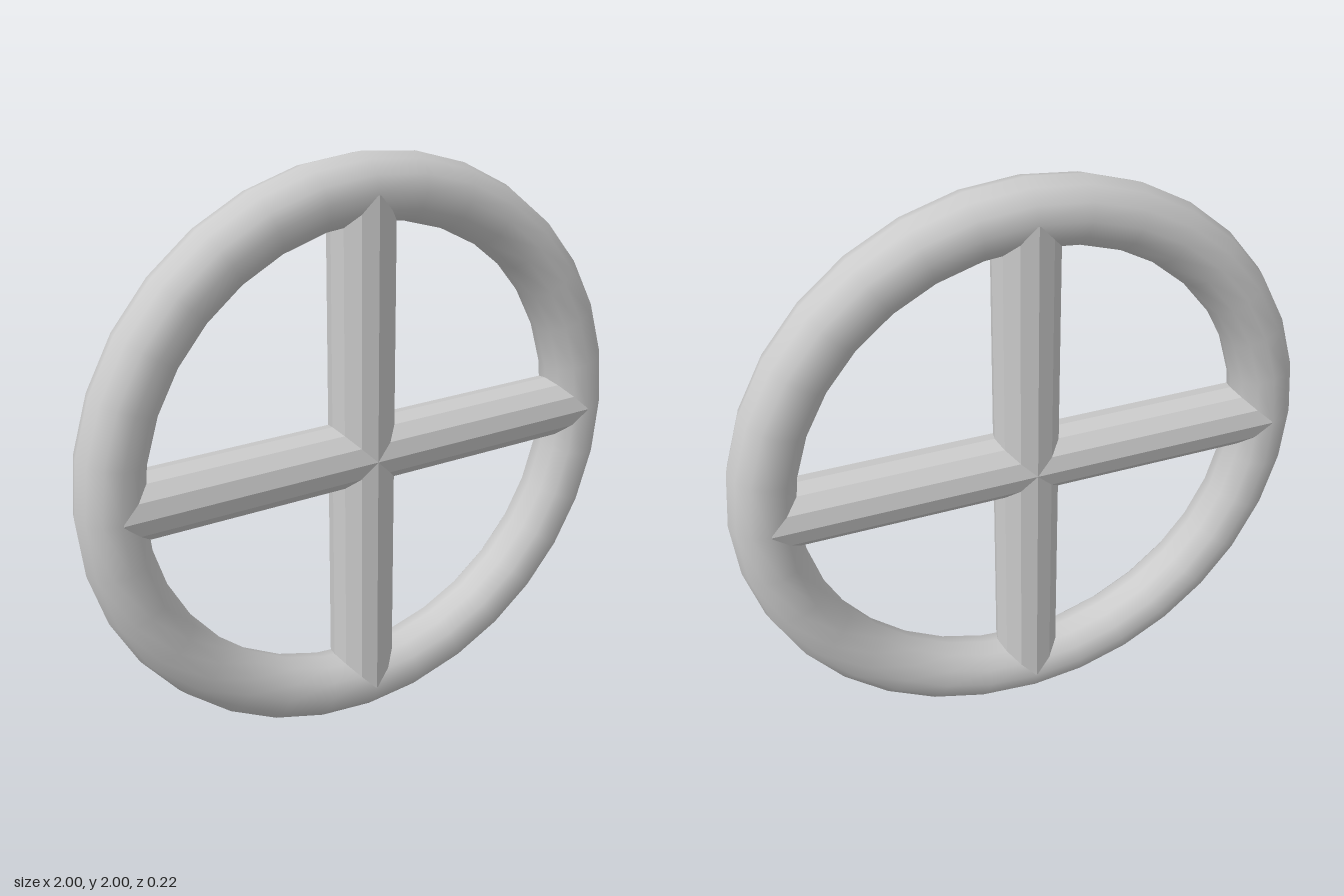
import * as THREE from 'three';

const TUBE = 0.11;          // radius of rim tube and spokes
const RIM = 1 - TUBE;       // radius of the rim's centre line
const SIDES = 12;

export function createModel() {
  const wheel = new THREE.Group();
  wheel.name = 'wheel';
  wheel.position.y = 1;

  // Smooth round rim
  const rim = new THREE.Mesh(
    new THREE.TorusGeometry(RIM, TUBE, SIDES, 32),
    new THREE.MeshStandardMaterial({ color: 0xcccccc })
  );
  rim.name = 'rim';
  wheel.add(rim);

  // Two faceted bars crossing at the centre, ends buried in the rim
  const barGeometry = new THREE.CylinderGeometry(TUBE, TUBE, 2 * RIM - 0.01, SIDES);
  const barMaterial = new THREE.MeshStandardMaterial({ color: 0xcccccc, flatShading: true });
  [['verticalSpoke', 0], ['horizontalSpoke', Math.PI / 2]].forEach(([name, angle]) => {
    const bar = new THREE.Mesh(barGeometry, barMaterial);
    bar.name = name;
    bar.rotation.z = angle;
    wheel.add(bar);
  });

  const model = new THREE.Group();
  model.name = 'spokedWheel';
  model.add(wheel);
  return model;
}
